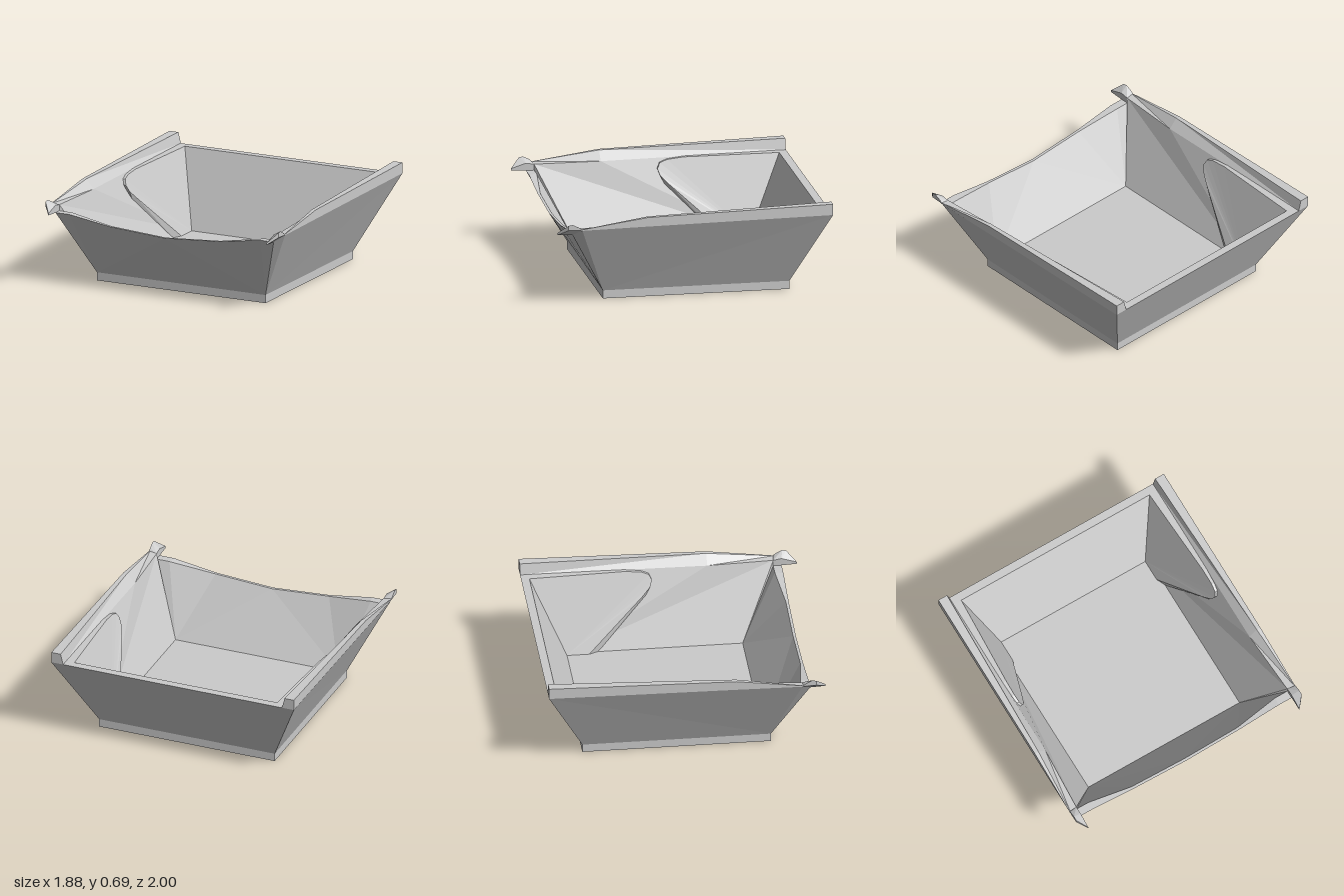
import * as THREE from 'three';
import { ConvexGeometry } from 'three/addons/geometries/ConvexGeometry.js';

const material = new THREE.MeshStandardMaterial({ color: 0xcccccc, flatShading: true, side: THREE.DoubleSide });

function mesh(name, geometry) {
  const m = new THREE.Mesh(geometry, material);
  m.name = name;
  return m;
}

// Fans polygons into triangles; side = -1 mirrors them across x = 0
function fromPolygons(polygons, side = 1) {
  const positions = [];
  for (const poly of polygons) {
    for (let i = 1; i < poly.length - 1; i++) {
      const tri = side > 0 ? [poly[0], poly[i], poly[i + 1]] : [poly[0], poly[i + 1], poly[i]];
      for (const [x, y, z] of tri) positions.push(x * side, y, z);
    }
  }
  const g = new THREE.BufferGeometry();
  g.setAttribute('position', new THREE.Float32BufferAttribute(positions, 3));
  g.computeVertexNormals();
  return g;
}

// Half of the thin flared tray wall
function shellPolygons() {
  const backLow = [0, 0.06, -0.73], cornerLow = [0.68, 0.06, -0.73];
  const frontCornerLow = [0.68, 0.06, 0.63], frontLow = [0, 0.06, 0.63];
  const backTop = [0, 0.605, -1], cornerTop = [0.94, 0.605, -1], sideTop = [0.94, 0.585, 0.83];
  const inBackLow = [0, 0.06, -0.69], inCornerLow = [0.63, 0.06, -0.69];
  const inFrontCornerLow = [0.63, 0.06, 0.58], inFrontLow = [0, 0.06, 0.58];
  const inBackTop = [0, 0.605, -0.94], inCornerTop = [0.85, 0.605, -0.94];
  const inSideMid = [0.85, 0.59, 0.35], inSideTop = [0.88, 0.585, 0.83];
  // dipping front lip, centre to corner
  const lip = [[0, 0.46, 0.89], [0.44, 0.49, 0.89], [0.77, 0.54, 0.89], [0.88, 0.54, 0.89]];
  const inLip = [[0, 0.46, 0.87], [0.44, 0.49, 0.87], [0.78, 0.54, 0.83], [0.88, 0.54, 0.83]];
  const polys = [
    [frontCornerLow, cornerLow, cornerTop, sideTop],
    [cornerLow, backLow, backTop, cornerTop],
    [frontCornerLow, ...[...lip].reverse(), frontLow],
    [frontCornerLow, sideTop, lip[3]],
    [inCornerLow, inFrontCornerLow, inSideTop, inSideMid, inCornerTop],
    [inBackLow, inCornerLow, inCornerTop, inBackTop],
    [inFrontCornerLow, inFrontLow, ...inLip, inSideTop],
    [inBackTop, inCornerTop, cornerTop, backTop],
    [lip[3], sideTop, inSideTop, inLip[3]],
  ];
  for (let i = 0; i < 3; i++) polys.push([lip[i], lip[i + 1], inLip[i + 1], inLip[i]]);
  return polys;
}

// Tapering rail on the side rim, lofted through four-cornered sections
function railPolygons() {
  const sections = [
    [[0.94, 0.605], [0.94, 0.685], [0.868, 0.685], [0.848, 0.605], -1],
    [[0.94, 0.59], [0.94, 0.657], [0.91, 0.657], [0.85, 0.59], 0.35],
    [[0.94, 0.583], [0.94, 0.59], [0.935, 0.59], [0.88, 0.585], 0.84],
  ].map((s) => s.slice(0, 4).map(([x, y]) => [x, y, s[4]]));
  const polys = [];
  for (let i = 0; i < 2; i++) {
    const s = sections[i], n = sections[i + 1];
    for (let j = 0; j < 4; j++) {
      const k = (j + 1) % 4;
      polys.push([n[j], s[j], s[k], n[k]]);
    }
  }
  const [a, b, c, d] = sections[0], [e, f, g, h] = sections[2];
  polys.push([a, d, c, b], [h, e, f, g]);
  return polys;
}

// Thickened panel with a rounded corner on the rear inner side wall
function panelPolygons() {
  const outline = [[-0.69, 0.06], [-0.53, 0.06], [-0.13, 0.42], [-0.07, 0.48], [-0.055, 0.525],
    [-0.075, 0.565], [-0.13, 0.585], [-0.25, 0.598], [-0.94, 0.605]];
  const inner = outline.map(([z, y]) => {
    const top = 0.785 + 0.05 * (z + 0.94) / 0.87;
    return [0.6 + (top - 0.6) * (y - 0.06) / 0.545, y, z];
  });
  const outer = outline.map(([z, y], i) => [
    0.632 + 0.22 * (y - 0.06) / 0.545, y, z + (i === 1 ? 0.07 : i === 2 ? 0.03 : 0)]);
  const polys = [inner];
  for (let i = 0; i < outline.length; i++) {
    const k = (i + 1) % outline.length;
    polys.push([inner[k], inner[i], outer[i], outer[k]]);
  }
  return polys;
}

// Hooked ear at the front corner: high outside, sloping forward and inward
const earPoints = [
  [0.94, 0.585, 0.83], [0.94, 0.605, 0.85], [0.94, 0.63, 0.9], [0.94, 0.625, 0.93], [0.94, 0.59, 0.93],
  [0.88, 0.585, 0.83], [0.88, 0.595, 0.89], [0.88, 0.56, 1], [0.88, 0.545, 1], [0.88, 0.54, 0.89],
];

export function createModel() {
  const model = new THREE.Group();
  model.name = 'storageBin';

  // Base plinth, its top is the tray floor
  const base = mesh('base', new THREE.BoxGeometry(1.36, 0.06, 1.36));
  base.position.set(0, 0.03, -0.05);
  model.add(base);

  // Mirrored halves
  for (const [prefix, side] of [['left', 1], ['right', -1]]) {
    model.add(
      mesh(prefix + 'TrayWall', fromPolygons(shellPolygons(), side)),
      mesh(prefix + 'Rail', fromPolygons(railPolygons(), side)),
      mesh(prefix + 'InnerPanel', fromPolygons(panelPolygons(), side)),
      mesh(prefix + 'FrontEar', new ConvexGeometry(
        earPoints.map(([x, y, z]) => new THREE.Vector3(x * side, y, z)))),
    );
  }
  return model;
}
